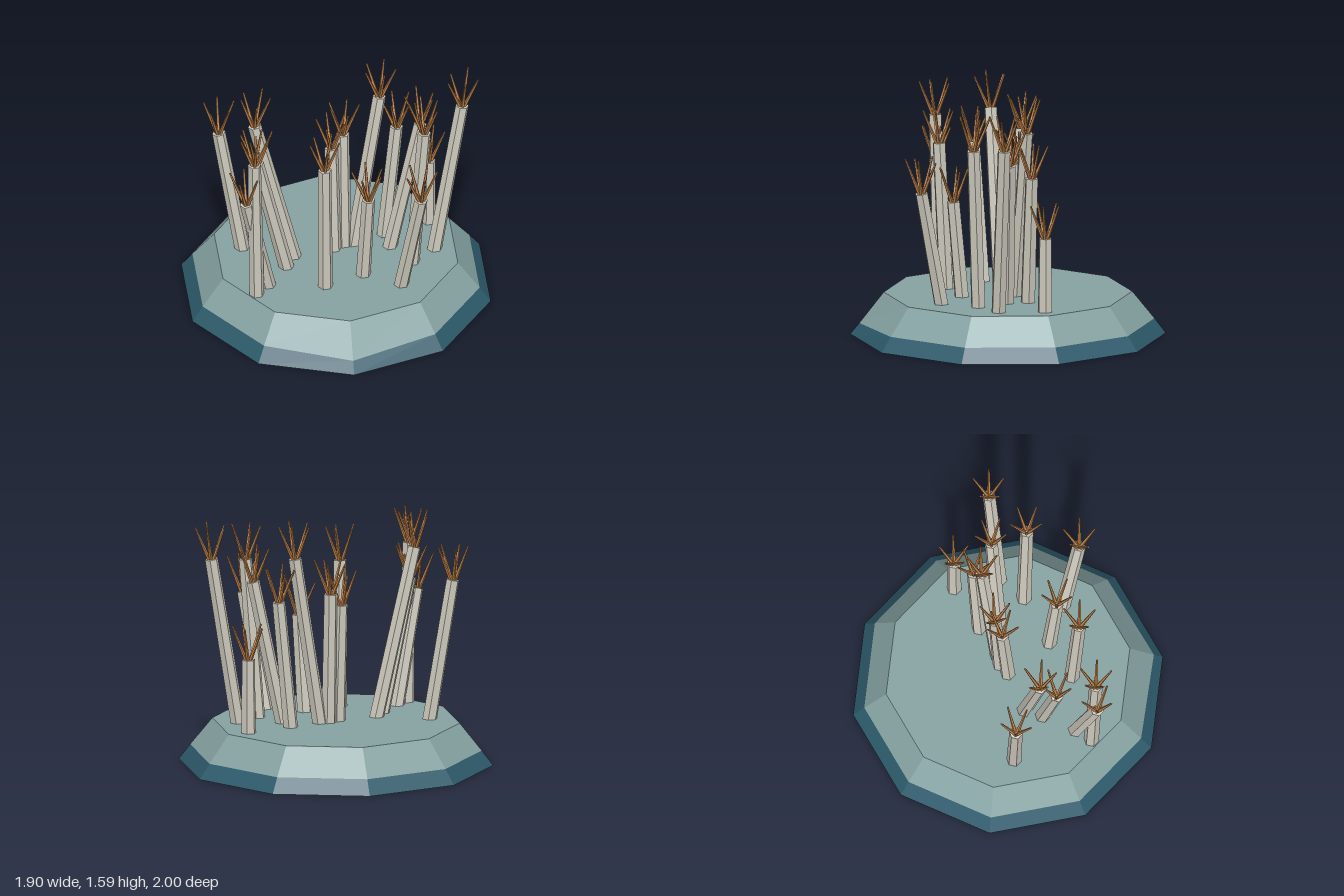
import * as THREE from 'three';

const flat = (name, color) => {
  const m = new THREE.MeshStandardMaterial({ color, flatShading: true });
  m.name = name;
  return m;
};

// tapered rod between two points
function rod(name, a, b, rBottom, rTop, sides, material) {
  const dir = b.clone().sub(a);
  const mesh = new THREE.Mesh(new THREE.CylinderGeometry(rTop, rBottom, dir.length(), sides), material);
  mesh.name = name;
  mesh.position.copy(a).addScaledVector(dir, 0.5);
  mesh.quaternion.setFromUnitVectors(new THREE.Vector3(0, 1, 0), dir.normalize());
  return mesh;
}

// ten-sided ring of the rock, with one seam corner dipped
function rockRing(name, rBottom, rTop, y0, y1, material) {
  const geo = new THREE.CylinderGeometry(rTop, rBottom, y1 - y0, 10);
  geo.translate(0, (y0 + y1) / 2, 0);
  const p = geo.attributes.position;
  for (let i = 0; i < p.count; i++) {
    const x = p.getX(i), y = p.getY(i), z = p.getZ(i);
    if (Math.abs(y - SEAM) < 0.001 && x < -0.4 && x > -0.7 && z > 0) {
      p.setXYZ(i, x * 1.015, SEAM - 0.025, z * 1.015);
    }
  }
  const mesh = new THREE.Mesh(geo, material);
  mesh.name = name;
  return mesh;
}

const SEAM = 0.095, ROCK_TOP = 0.27;

// base x, base z, top x, top y, top z
const TUBES = [
  [-0.43, -0.41, -0.54, 1.17, -0.51],
  [-0.25, -0.12, -0.49, 1.35, -0.23],
  [-0.36, -0.07, -0.55, 1.13, -0.14],
  [-0.70, 0.02, -0.73, 1.30, 0.03],
  [-0.58, 0.0, -0.77, 1.0, 0.0],
  [-0.32, 0.25, -0.355, 1.21, 0.28],
  [-0.06, 0.32, -0.07, 0.89, 0.38],
  [0.045, 0.56, 0.06, 1.01, 0.73],
  [0.26, 0.43, 0.3, 1.295, 0.5],
  [0.46, 0.42, 0.625, 1.35, 0.5],
  [0.27, 0.21, 0.435, 1.2, 0.315],
  [0.63, 0.18, 0.633, 0.745, 0.18],
  [0.33, 0.09, 0.41, 1.09, 0.12],
  [0.12, 0.03, 0.3, 1.36, 0.08],
  [-0.01, -0.01, 0.005, 1.03, -0.05],
  [0.07, 0.0, 0.085, 1.11, -0.03],
];

export function createModel() {
  const group = new THREE.Group();
  const darkTeal = flat('dark teal rock', 0x2d5a6b);
  const paleTeal = flat('pale teal rock', 0x86a2a2);
  const bone = flat('bone tube', 0xcdc9bd);
  const copper = flat('copper tentacle', 0xbd8047);

  // rock base
  group.add(rockRing('rockFoot', 1, 0.928, 0, SEAM, darkTeal));
  group.add(rockRing('rockSlab', 0.928, 0.787, SEAM, ROCK_TOP, paleTeal));

  // leaning tubes, each crowned with five spread tentacles
  TUBES.forEach(([bx, bz, tx, ty, tz], i) => {
    const worm = new THREE.Group();
    worm.name = 'tubeWorm' + (i + 1);
    const base = new THREE.Vector3(bx, ROCK_TOP - 0.01, bz);
    const top = new THREE.Vector3(tx, ty, tz);
    worm.add(rod('tube', base, top, 0.048, 0.043, 6, bone));
    for (let k = 0; k < 5; k++) {
      const a = i * 1.9 + k * Math.PI * 0.4;
      const root = top.clone().add(new THREE.Vector3(Math.sin(a) * 0.012, -0.01, Math.cos(a) * 0.012));
      const reach = 0.1 + 0.006 * Math.sin(i + k * 2);
      const tip = top.clone().add(new THREE.Vector3(
        Math.sin(a) * reach, 0.215 + 0.012 * Math.sin(i * 2 + k * 3), Math.cos(a) * reach));
      worm.add(rod('tentacle', root, tip, 0.013, 0.006, 5, copper));
    }
    group.add(worm);
  });
  return group;
}
